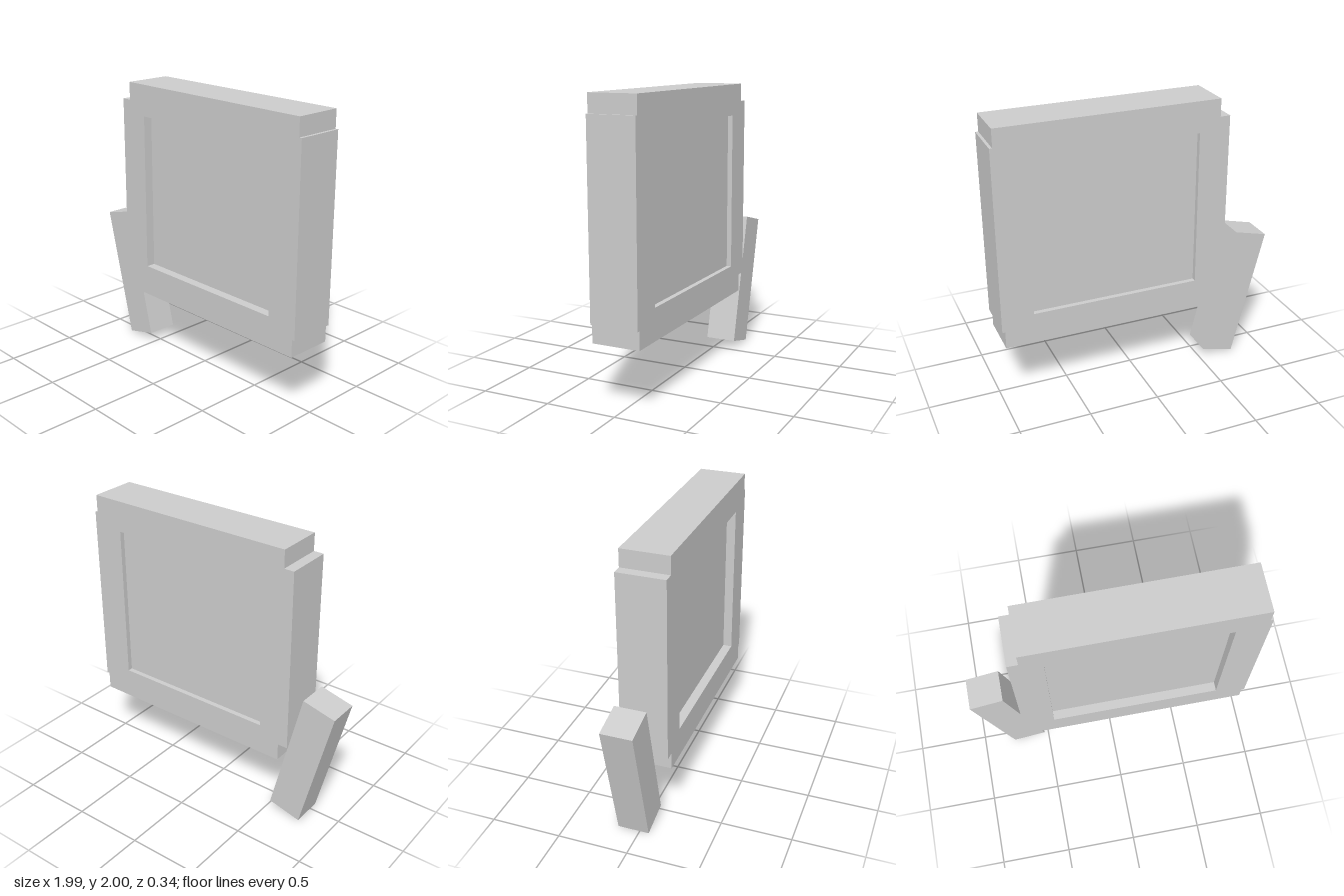
import * as THREE from 'three';

const points = (list) => list.map(([x, y]) => new THREE.Vector2(x, y));

export function createModel() {
  const model = new THREE.Group();
  const grey = new THREE.MeshStandardMaterial({ color: 0xcccccc });
  grey.name = 'light grey';

  const add = (name, geometry, x, y, z) => {
    const mesh = new THREE.Mesh(geometry, grey);
    mesh.name = name;
    mesh.position.set(x, y, z);
    model.add(mesh);
    return mesh;
  };

  // Thick square frame with notched corners and an opening
  const depth = 0.335;
  const opening = { left: -0.435, right: 0.765, bottom: 0.67, top: 1.78 };
  const outline = new THREE.Shape(points([
    [-0.585, 0.45], [0.97, 0.45], [0.97, 0.575], [0.99, 0.575],
    [0.99, 1.875], [0.97, 1.875], [0.97, 2], [-0.585, 2],
    [-0.585, 1.875], [-0.657, 1.875], [-0.657, 0.575], [-0.585, 0.575],
  ]));
  outline.holes.push(new THREE.Path(points([
    [opening.left, opening.bottom], [opening.left, opening.top],
    [opening.right, opening.top], [opening.right, opening.bottom],
  ])));
  add('frame', new THREE.ExtrudeGeometry(outline, { depth, bevelEnabled: false }), 0, 0, -depth / 2);

  // Panel filling the opening, set deeper at the front than at the back
  const frontRecess = 0.065, backRecess = 0.035;
  add('panel',
    new THREE.BoxGeometry(opening.right - opening.left, opening.top - opening.bottom, depth - frontRecess - backRecess),
    (opening.left + opening.right) / 2, (opening.bottom + opening.top) / 2, (backRecess - frontRecess) / 2);

  // Leaning bar beside the lower corner
  const bar = add('leaningBar', new THREE.BoxGeometry(0.245, 0.955, 0.223), -0.765, 0.495, -0.046);
  bar.rotation.z = THREE.MathUtils.degToRad(14);

  return model;
}
